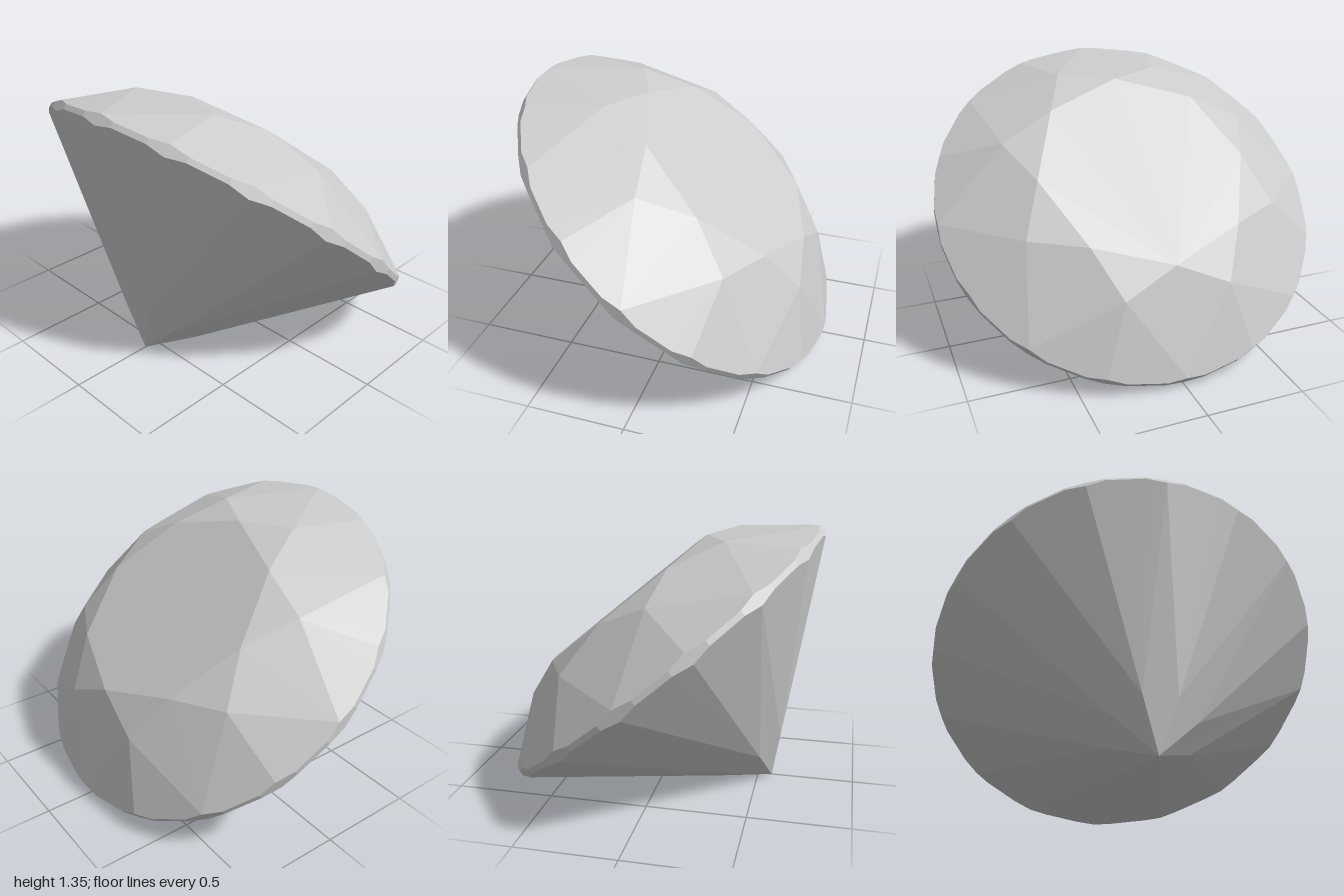
import * as THREE from 'three';

const STEP = 22.5; // one of sixteen sectors
const polar = (deg, r, y) => {
  const a = THREE.MathUtils.degToRad(deg);
  return new THREE.Vector3(r * Math.cos(a), y, r * Math.sin(a));
};

// Flat facets from convex polygons, each turned to face away from the stone's middle
function facetMesh(name, polygons) {
  const middle = new THREE.Vector3(0, 0.85, 0);
  const points = [];
  for (const poly of polygons) {
    for (let i = 1; i < poly.length - 1; i++) {
      const [a, b, c] = [poly[0], poly[i], poly[i + 1]];
      const normal = b.clone().sub(a).cross(c.clone().sub(a));
      const outward = normal.dot(a.clone().sub(middle)) > 0;
      points.push(a, ...(outward ? [b, c] : [c, b]));
    }
  }
  const geometry = new THREE.BufferGeometry().setFromPoints(points);
  geometry.computeVertexNormals();
  const material = new THREE.MeshStandardMaterial({ color: 0xcccccc, flatShading: true });
  const mesh = new THREE.Mesh(geometry, material);
  mesh.name = name;
  return mesh;
}

export function createModel() {
  // Key points of the cut, measured from the tip along the stone's axis
  const tip = polar(0, 0, 0);
  const tablePoint = (deg) => polar(deg, 0.543, 1.223);
  const starPoint = (deg) => polar(deg, 0.704, 1.151);
  const lowPoint = (deg) => polar(deg, 0.22, 0.174);
  const corner = 1 / Math.cos(THREE.MathUtils.degToRad(STEP / 4));
  // Scalloped girdle edge across one sector
  const rim = (deg, end, inner) => [
    polar(deg, 1, end),
    polar(deg + STEP / 4, corner, inner),
    polar(deg + STEP * 0.75, corner, inner),
    polar(deg + STEP, 1, end),
  ];

  const table = [[]], crown = [], girdle = [], pavilion = [];

  // Eight main facets above and below, plus the star facets around the table
  for (let i = 0; i < 8; i++) {
    const a = i * 45;
    table[0].push(tablePoint(a));
    crown.push([tablePoint(a), starPoint(a - STEP), polar(a, 1, 0.918), starPoint(a + STEP)]);
    crown.push([tablePoint(a), starPoint(a + STEP), tablePoint(a + 45)]);
    pavilion.push([tip, lowPoint(a - STEP), polar(a, 1, 0.858), lowPoint(a + STEP)]);
  }

  // Sixteen half facets on each side of the girdle band
  for (let s = 0; s < 16; s++) {
    const a = s * STEP;
    const odd = s % 2 ? a : a + STEP;
    const upper = rim(a, 0.918, 0.903);
    const lower = rim(a, 0.858, 0.875);
    crown.push([starPoint(odd), ...upper]);
    pavilion.push([lowPoint(odd), ...lower]);
    for (let k = 0; k < 3; k++) {
      girdle.push([lower[k], lower[k + 1], upper[k + 1], upper[k]]);
    }
  }

  // The stone rests on one side of its pavilion
  const gem = new THREE.Group();
  gem.name = 'gemstone';
  gem.add(
    facetMesh('table', table),
    facetMesh('crown', crown),
    facetMesh('girdle', girdle),
    facetMesh('pavilion', pavilion),
  );
  gem.rotation.z = -THREE.MathUtils.degToRad(40);
  gem.position.set(-0.573, 0.002, 0);

  const model = new THREE.Group();
  model.name = 'model';
  model.add(gem);
  return model;
}
